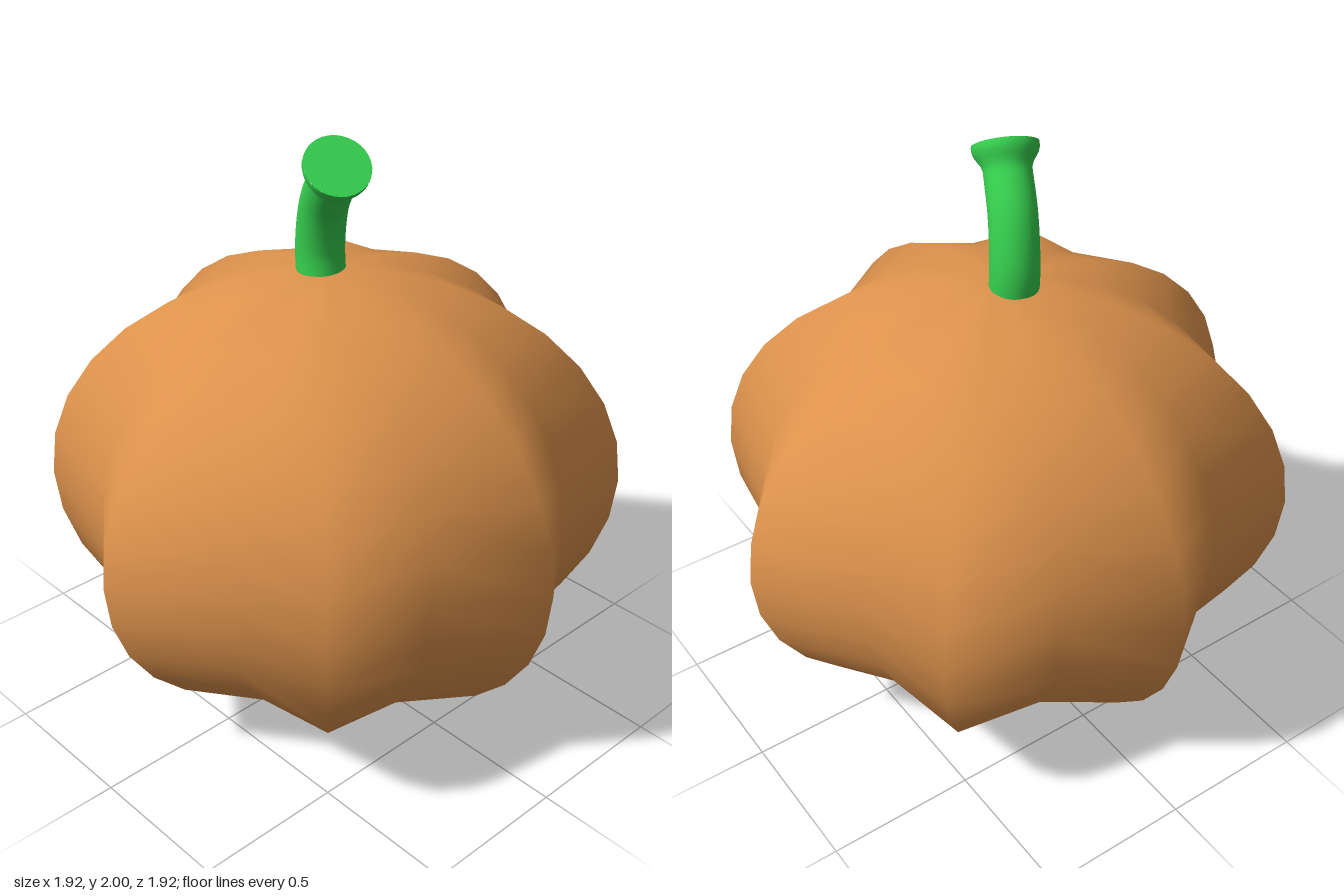
import * as THREE from 'three';
import { mergeVertices } from 'three/addons/utils/BufferGeometryUtils.js';

// Weld seams, then compute smooth normals
function smooth(geometry) {
  geometry.deleteAttribute('uv');
  geometry.deleteAttribute('normal');
  const welded = mergeVertices(geometry, 1e-4);
  welded.computeVertexNormals();
  return welded;
}

function part(name, geometry, material) {
  const mesh = new THREE.Mesh(geometry, material);
  mesh.name = name;
  return mesh;
}

// Sphere whose alternate meridians are pushed out into eight ridges
function createBody() {
  const geometry = new THREE.SphereGeometry(1, 16, 16);
  const pos = geometry.attributes.position;
  for (let i = 0; i < pos.count; i++) {
    const x = pos.getX(i), y = pos.getY(i), z = pos.getZ(i);
    const r = 0.88 + 0.08 * Math.cos(8 * Math.atan2(z, x));
    pos.setXYZ(i, x * r, 0.777 + 0.772 * y, z * r);
  }
  return smooth(geometry);
}

// Tube along the stem curve, each ring scaled by the flare profile
function createStem(curve, segments, sides) {
  const geometry = new THREE.TubeGeometry(curve, segments, 1, sides);
  const pos = geometry.attributes.position;
  const v = new THREE.Vector3();
  for (let i = 0; i < pos.count; i++) {
    const t = Math.floor(i / (sides + 1)) / segments;
    const centre = curve.getPointAt(t);
    const flare = THREE.MathUtils.smoothstep(t, 0.84, 0.97);
    const radius = 0.08 - 0.005 * t + 0.03 * flare;
    v.fromBufferAttribute(pos, i).sub(centre).multiplyScalar(radius).add(centre);
    pos.setXYZ(i, v.x, v.y, v.z);
  }
  return smooth(geometry);
}

export function createModel() {
  const model = new THREE.Group();
  model.name = 'pumpkin';
  const orange = new THREE.MeshStandardMaterial({ color: 0xdd924c });
  const green = new THREE.MeshStandardMaterial({ color: 0x36cf4e });

  model.add(part('ribbedBody', createBody(), orange));

  const curve = new THREE.CatmullRomCurve3([
    new THREE.Vector3(-0.04, 1.5, 0.02),
    new THREE.Vector3(-0.045, 1.62, 0.02),
    new THREE.Vector3(-0.005, 1.77, 0.04),
    new THREE.Vector3(0.068, 1.878, 0.072),
    new THREE.Vector3(0.113, 1.938, 0.094),
  ]);
  const stem = new THREE.Group();
  stem.name = 'stem';
  stem.add(part('stalk', createStem(curve, 32, 32), green));

  // Flat cut end
  const cap = part('stemCutEnd', new THREE.CircleGeometry(0.105, 32), green);
  cap.position.copy(curve.getPointAt(1));
  cap.quaternion.setFromUnitVectors(new THREE.Vector3(0, 0, 1), curve.getTangentAt(1));
  stem.add(cap);
  model.add(stem);

  return model;
}
